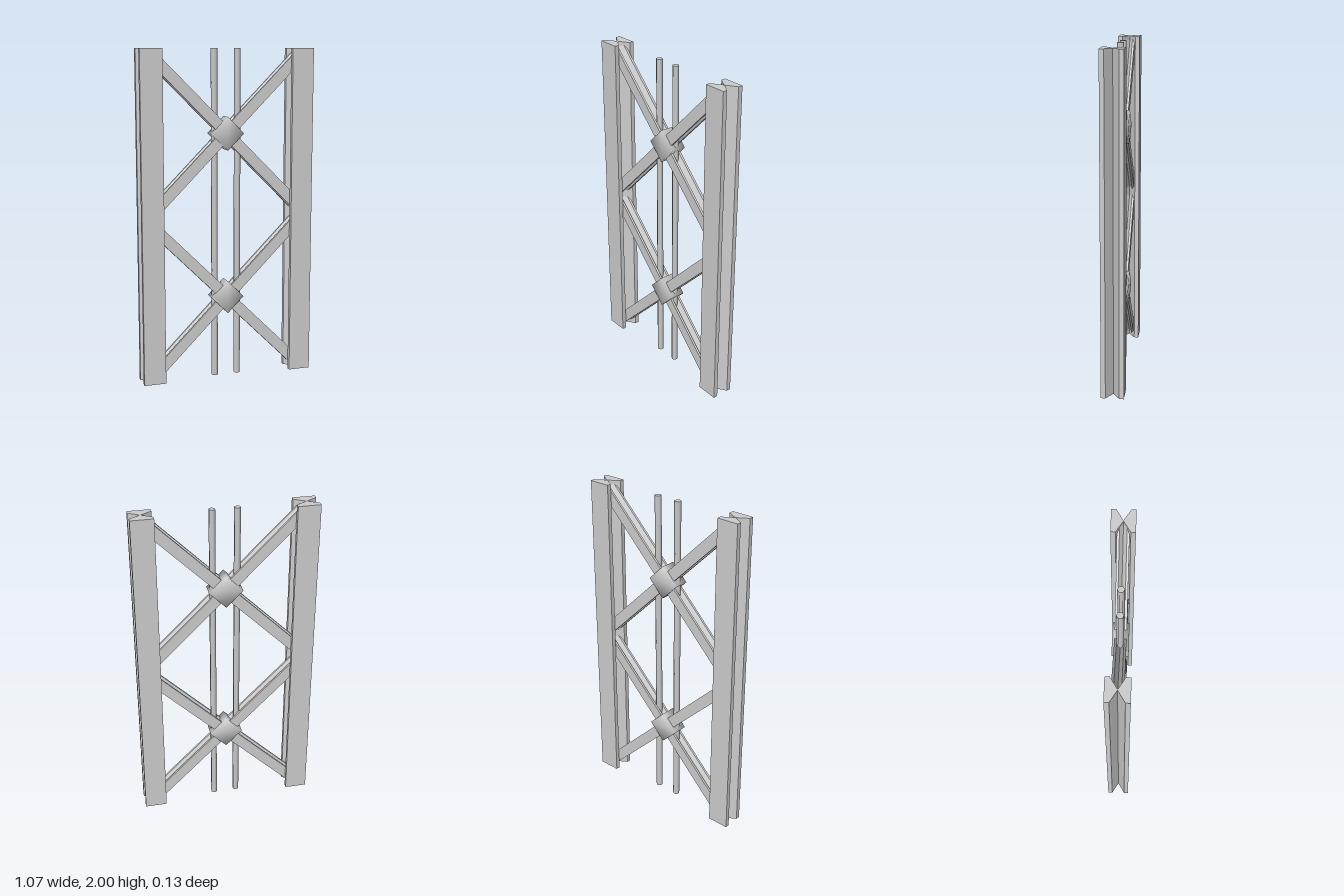
import * as THREE from 'three';
import { mergeVertices } from 'three/addons/utils/BufferGeometryUtils.js';

const steel = new THREE.MeshStandardMaterial({ color: 0xcccccc });
steel.name = 'light grey steel';

// Hourglass beam: two flanges tapering to a thin web, running from y = 0 to y = length
function beamGeometry(half, length) {
  const inner = half * 0.6, web = half * 0.03;
  const outline = [
    [-half, -half], [half, -half], [half, -inner], [web, 0],
    [half, inner], [half, half], [-half, half], [-half, inner],
    [-web, 0], [-half, -inner],
  ].map(([x, y]) => new THREE.Vector2(x, y));
  const geometry = new THREE.ExtrudeGeometry(new THREE.Shape(outline), { depth: length, bevelEnabled: false });
  return geometry.rotateX(-Math.PI / 2);
}

// Block with shared corners, so its shading is soft
function hubGeometry() {
  const box = new THREE.BoxGeometry(0.1414, 0.1414, 0.094);
  box.deleteAttribute('normal');
  box.deleteAttribute('uv');
  const geometry = mergeVertices(box);
  geometry.computeVertexNormals();
  return geometry.rotateZ(Math.PI / 4);
}

export function createModel() {
  const group = new THREE.Group();
  const add = (name, geometry, x, y) => {
    const mesh = new THREE.Mesh(geometry, steel);
    mesh.name = name;
    mesh.position.set(x, y, 0);
    group.add(mesh);
    return mesh;
  };

  const postX = 0.467, braceStart = 0.05;
  const post = beamGeometry(0.067, 2);
  const brace = beamGeometry(0.0335, (postX - braceStart) * Math.SQRT2);
  const rod = new THREE.CylinderGeometry(0.02, 0.02, 2, 6);
  const hub = hubGeometry();

  // Upright posts and slim inner rods
  for (const side of [-1, 1]) {
    const label = side > 0 ? 'left' : 'right';
    add(label + 'Post', post, side * postX, 0);
    add(label + 'Rod', rod, side * 0.072, 1);
  }

  // Two bays, each with a hub and four diagonal braces
  for (const [bay, y] of [['lower', 0.5], ['upper', 1.5]]) {
    add(bay + 'Hub', hub, 0, y);
    for (const sx of [-1, 1]) {
      for (const sy of [-1, 1]) {
        const mesh = add(bay + 'Brace', brace, sx * braceStart, y + sy * braceStart);
        mesh.rotation.z = Math.atan2(-sx, sy);
      }
    }
  }
  return group;
}
